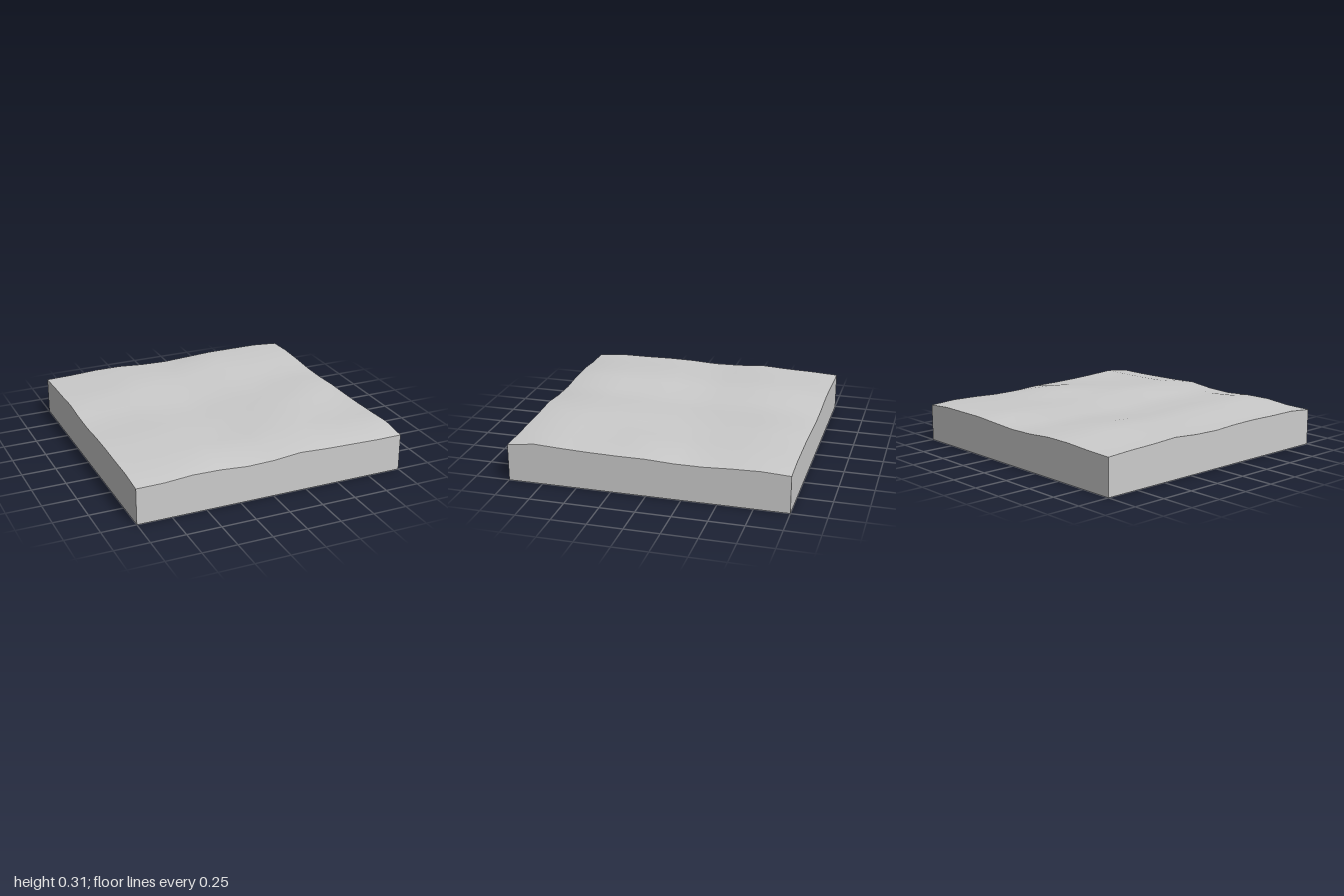
import * as THREE from 'three';

const N = 10; // grid cells per side

// Rim heights of the four walls, each read left to right when facing that wall
const rim = {
  frontWall: [.265, .267, .283, .28, .265, .27, .29, .28, .275, .27, .27],
  rightWall: [.27, .295, .285, .278, .275, .275, .265, .265, .275, .28, .27],
  backWall: [.27, .285, .285, .285, .275, .265, .27, .285, .285, .275, .27],
  leftWall: [.27, .28, .285, .295, .28, .275, .285, .287, .283, .283, .265],
};

// Gentle swells and hollows inside the rim: x, z, height
const swells = [
  [.8, 0, .028], [.2, .6, .015], [.4, .4, .013], [-.6, .4, .012], [-.4, .8, .012],
  [.2, -.8, .018], [-.4, -.6, .012], [-.2, 0, -.008], [.4, -.2, -.008], [.6, .6, -.006],
];

// Blend of the four rims plus the swells
function surfaceHeight(i, j) {
  const { frontWall: f, rightWall: r, backWall: b, leftWall: l } = rim;
  const u = i / N, v = j / N; // v runs from back to front
  const alongX = (1 - u) * l[j] + u * r[N - j];
  const alongZ = (1 - v) * b[N - i] + v * f[i];
  const corners = (1 - v) * ((1 - u) * b[N] + u * b[0]) + v * ((1 - u) * f[0] + u * f[N]);
  let h = alongX + alongZ - corners;
  if (i > 0 && i < N && j > 0 && j < N) {
    for (const [x, z, a] of swells) {
      h += a * Math.exp(-((2 * u - 1 - x) ** 2 + (2 * v - 1 - z) ** 2) / .035);
    }
  }
  return Math.min(h, .308);
}

export function createModel() {
  const group = new THREE.Group();
  const material = new THREE.MeshStandardMaterial({ color: 0xcccccc });
  const add = (name, geometry) => {
    const mesh = new THREE.Mesh(geometry, material);
    mesh.name = name;
    group.add(mesh);
  };

  // Smooth rolling top
  const top = new THREE.PlaneGeometry(2, 2, N, N).rotateX(-Math.PI / 2);
  for (let j = 0; j <= N; j++) {
    for (let i = 0; i <= N; i++) top.attributes.position.setY(j * (N + 1) + i, surfaceHeight(i, j));
  }
  top.computeVertexNormals();
  add('groundSurface', top);

  // Flat walls that follow the rim
  Object.entries(rim).forEach(([name, heights], k) => {
    const shape = new THREE.Shape();
    shape.moveTo(-1, 0).lineTo(1, 0);
    for (let i = N; i >= 0; i--) shape.lineTo(-1 + 2 * i / N, heights[i]);
    add(name, new THREE.ShapeGeometry(shape).translate(0, 0, 1).rotateY(k * Math.PI / 2));
  });

  // Flat underside
  add('underside', new THREE.PlaneGeometry(2, 2).rotateX(Math.PI / 2));
  return group;
}
